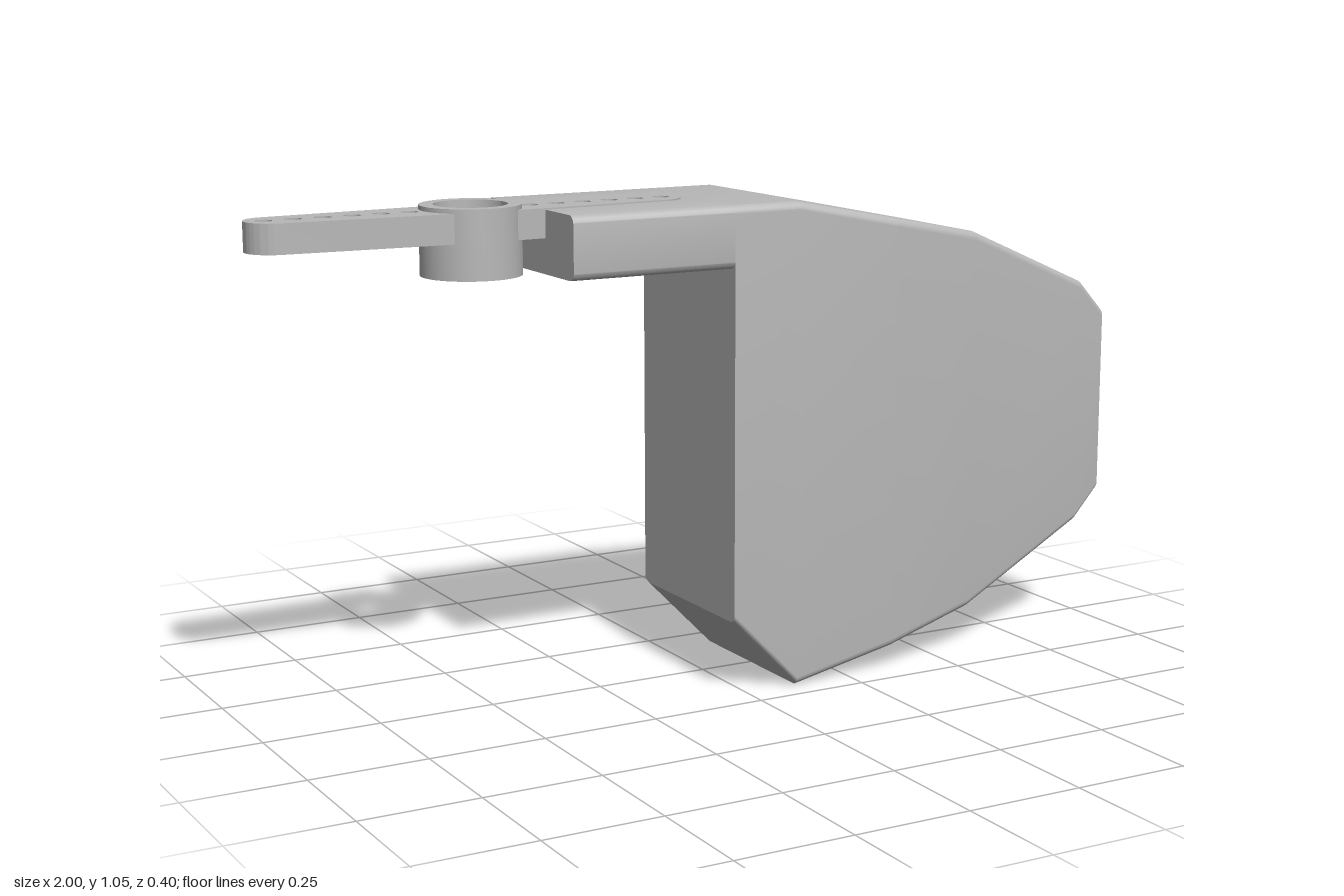
import * as THREE from 'three';
import { toCreasedNormals } from 'three/addons/utils/BufferGeometryUtils.js';

const ROUND = 0.018; // rounding of the long body edges
const HUB_X = -0.53;
const HOLE_R = 0.017;

// Rounded rectangle in the y-z plane, returned as [y, z] pairs
function section(yBot, yTop, half, steps = 12) {
  const pts = [];
  const corners = [[yTop - ROUND, half - ROUND], [yBot + ROUND, half - ROUND],
    [yBot + ROUND, -half + ROUND], [yTop - ROUND, -half + ROUND]];
  corners.forEach(([y, z], q) => {
    for (let i = 0; i <= steps; i++) {
      const a = (q + i / steps) * Math.PI / 2;
      pts.push([y + ROUND * Math.cos(a), z + ROUND * Math.sin(a)]);
    }
  });
  return pts;
}

// Skin over cross-sections placed along x, closed with flat caps
function loft(stations) {
  const rings = stations.map(([x, b, t, h]) => section(b, t, h).map(([y, z]) => [x, y, z]));
  const pos = [];
  const tri = (a, b, c) => pos.push(...a, ...b, ...c);
  const n = rings[0].length;
  for (let i = 0; i < rings.length - 1; i++) {
    for (let j = 0; j < n; j++) {
      const k = (j + 1) % n;
      const [a, b, c, d] = [rings[i][j], rings[i][k], rings[i + 1][j], rings[i + 1][k]];
      tri(a, b, c);
      tri(b, d, c);
    }
  }
  const first = rings[0], last = rings[rings.length - 1];
  for (let j = 1; j < n - 1; j++) {
    tri(last[0], last[j], last[j + 1]);
    tri(first[0], first[j + 1], first[j]);
  }
  const geo = new THREE.BufferGeometry();
  geo.setAttribute('position', new THREE.Float32BufferAttribute(pos, 3));
  return toCreasedNormals(geo, 0.165);
}

// Flat plate: a shape in plan, extruded upwards from y0 to y1
function plate(shape, y0, y1) {
  const geo = new THREE.ExtrudeGeometry(shape, { depth: y1 - y0, bevelEnabled: false, curveSegments: 24 });
  geo.rotateX(-Math.PI / 2).translate(0, y0, 0);
  return toCreasedNormals(geo, 0.5);
}

function addHole(shape, x) {
  const hole = new THREE.Path();
  hole.absarc(x, 0, HOLE_R, 0, Math.PI * 2, true);
  shape.holes.push(hole);
}

export function createModel() {
  const group = new THREE.Group();
  const grey = new THREE.MeshStandardMaterial({ color: 0xb8b8b8 });
  grey.name = 'plain grey';
  const add = (name, geo, parent = group) => {
    const mesh = new THREE.Mesh(geo, grey);
    mesh.name = name;
    parent.add(mesh);
    return mesh;
  };

  // Tapered paddle: x, bottom, top, half width
  add('paddle', loft([
    [-0.035, 0.16, 1.035, 0.198],
    [0.12, 0.002, 1.035, 0.198],
    [0.36, 0.052, 0.987, 0.198],
    [0.59, 0.1, 0.94, 0.156],
    [0.93, 0.245, 0.8, 0.095],
    [1, 0.308, 0.732, 0.082],
  ]));

  // Mounting arm: two rounded side rails around a drilled core
  const arm = new THREE.Group();
  arm.name = 'mountingArm';
  group.add(arm);
  const x0 = -0.4, x1 = -0.035, coreHalf = 0.085;
  const armSection = section(0.905, 1.035, 0.198);
  for (const s of [1, -1]) {
    const pts = armSection.filter(([, z]) => z * s > 0).map(([y, z]) => new THREE.Vector2(z, y));
    const inner = [new THREE.Vector2(s * coreHalf, 0.905), new THREE.Vector2(s * coreHalf, 1.035)];
    const shape = new THREE.Shape([...pts, ...(s > 0 ? inner : inner.reverse())]);
    const geo = new THREE.ExtrudeGeometry(shape, { depth: x1 - x0, bevelEnabled: false });
    geo.rotateY(Math.PI / 2).translate(x0, 0, 0);
    add('armSideRail', toCreasedNormals(geo, 0.3), arm);
  }
  // Lower core carries only the through hole, upper core all of them
  const lower = new THREE.Shape();
  lower.moveTo(x0, -coreHalf).lineTo(x1, -coreHalf).lineTo(x1, coreHalf).lineTo(x0, coreHalf);
  addHole(lower, HUB_X + 0.43);
  add('armCoreLower', plate(lower, 0.905, 0.98), arm);

  const upper = new THREE.Shape();
  upper.moveTo(x0, -coreHalf).lineTo(x1, -coreHalf).lineTo(x1, coreHalf).lineTo(x0, coreHalf);
  upper.lineTo(x0, HOLE_R);
  upper.absarc(x0, 0, HOLE_R, Math.PI / 2, -Math.PI / 2, true);
  for (let i = 1; i < 6; i++) addHole(upper, HUB_X + 0.13 + i * 0.06);
  add('armCoreUpper', plate(upper, 0.98, 1.035), arm);

  // Lever with two tapered, drilled blades and a stepped hub
  const lever = new THREE.Group();
  lever.name = 'lever';
  lever.position.x = HUB_X;
  group.add(lever);
  const root = Math.atan2(0.078, 0.048);
  const blade = new THREE.Shape();
  blade.moveTo(0.048, -0.078);
  blade.lineTo(0.412, -0.057);
  blade.absarc(0.412, 0, 0.057, -Math.PI / 2, Math.PI / 2, false);
  blade.lineTo(0.048, 0.078);
  blade.absarc(0, 0, Math.hypot(0.048, 0.078), root, -root, true);
  for (let i = 0; i < 6; i++) addHole(blade, 0.13 + i * 0.06);
  for (const turn of [0, Math.PI]) {
    add('leverBlade', plate(blade, 0.978, 1.038), lever).rotation.y = turn;
  }

  // Hub: wide bore below, small hole in the web, shallow recess above
  const profile = [[0.04, 0.975], [0.075, 0.975], [0.075, 0.905], [0.103, 0.905], [0.103, 1.047],
    [0.075, 1.047], [0.075, 1.015], [0.04, 1.015], [0.04, 0.975]];
  const hub = new THREE.LatheGeometry(profile.map(([r, y]) => new THREE.Vector2(r, y)), 48);
  add('leverHub', toCreasedNormals(hub, 0.5), lever);

  return group;
}
